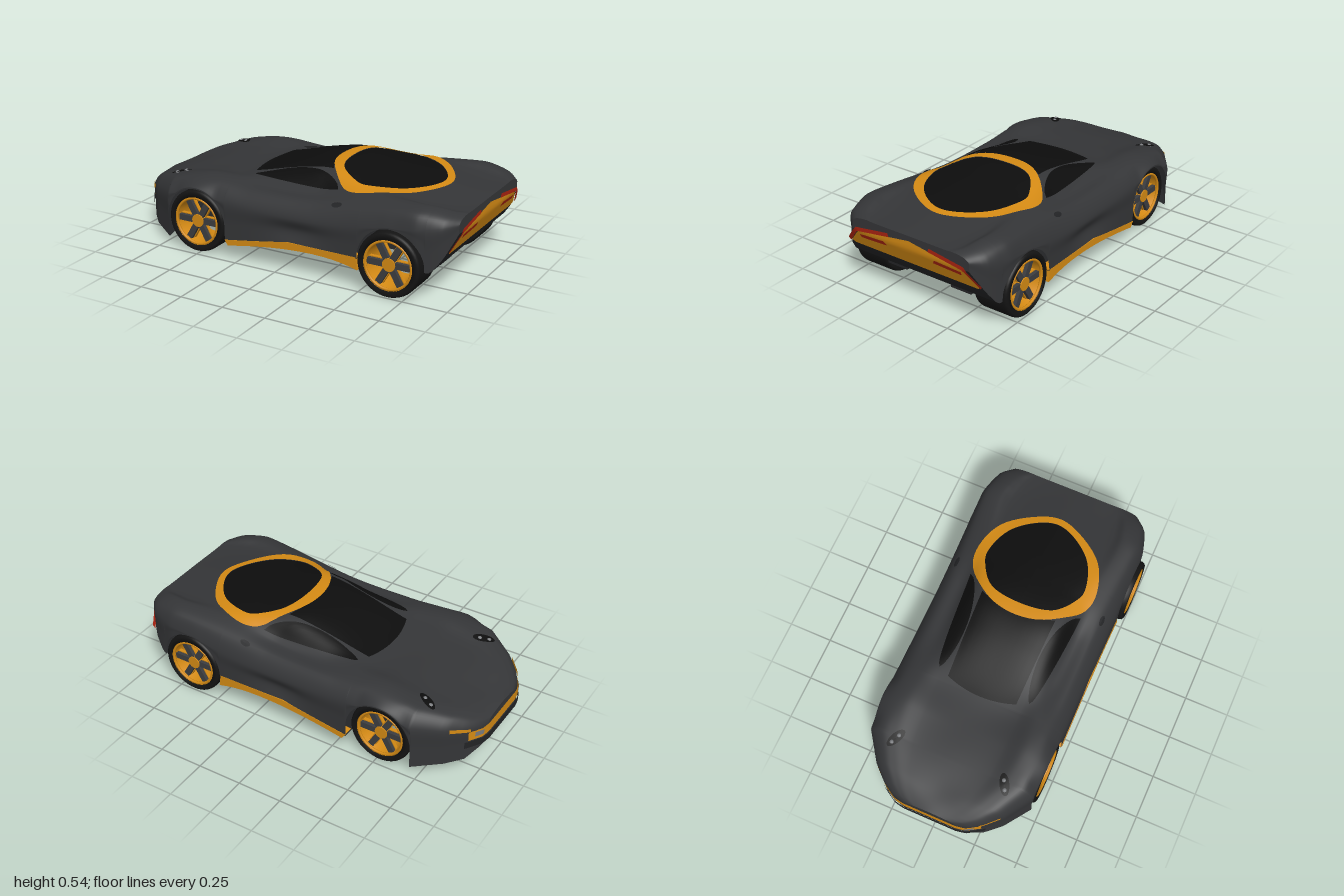
import * as THREE from 'three';

const mat = color => new THREE.MeshStandardMaterial({ color, side: THREE.DoubleSide });
const paint = mat(0x343537), glass = mat(0x0d0d0d), orange = mat(0xd48a14), red = mat(0xa82210);
const rubber = mat(0x141414), lamp = mat(0x77797c), trim = mat(0x222325), spokeGrey = mat(0x3c3d40);
const WHEEL_X = [-0.518, 0.663], WHEEL_Y = 0.176, ARCH = 0.188, ACROSS = 72, END = 0.99;

// Value at x of a profile of [x, value] points, smooth or straight
function profile(pts, smooth = true) {
  return x => {
    let i = 0;
    while (i < pts.length - 2 && x > pts[i + 1][0]) i++;
    const [ax, a] = pts[i], [bx, b] = pts[i + 1], h = bx - ax, t = (x - ax) / h;
    if (!smooth) return a + (b - a) * t;
    const p = pts[Math.max(i - 1, 0)], q = pts[Math.min(i + 2, pts.length - 1)];
    const m0 = (b - p[1]) / (bx - p[0]) * h, m1 = (q[1] - a) / (q[0] - ax) * h;
    const t2 = t * t, t3 = t2 * t;
    return (2 * t3 - 3 * t2 + 1) * a + (t3 - 2 * t2 + t) * m0 + (3 * t2 - 2 * t3) * b + (t3 - t2) * m1;
  };
}

// Lines running the length of the car: heights, half width and sill
const centre = profile([[-1, .275], [-.93, .305], [-.7, .37], [-.33, .415], [0, .51], [.17, .535], [.4, .522], [.75, .475], [1, .44]]);
const roofEdge = profile([[-1, .27], [-.855, .337], [-.53, .4], [-.33, .415], [0, .485], [.17, .51], [.4, .495], [.75, .464], [1, .44]]);
const belt = profile([[-1, .265], [-.855, .34], [-.53, .422], [-.33, .425], [-.1, .408], [.17, .42], [.4, .463], [.75, .484], [.88, .476], [1, .44]]);
const fender = profile([[-1, .258], [-.855, .33], [-.53, .407], [-.2, .395], [.17, .4], [.75, .458], [.9, .45], [1, .43]]);
const side = profile([[-1, .245], [-.855, .28], [-.53, .33], [.17, .31], [.75, .38], [1, .415]]);
const width = profile([[-1, .1], [-.98, .21], [-.93, .29], [-.855, .37], [-.7, .475], [-.53, .485], [.8, .488], [.88, .465], [.94, .44], [1, .365]], false);
const sill = profile([[-1, .15], [-.93, .075], [-.7, .05], [-.33, .1], [0, .16], [.17, .17], [.88, .165], [.94, .25], [1, .39]], false);
const tailX = profile([[.165, .88], [.25, .94], [.39, 1]], false);
const roofPart = profile([[-1, .45], [.17, .5], [.75, .62], [1, .62]], false);
const haunch = profile([[-1, 0], [.2, 0], [.75, .05], [1, .05]], false);
const wheelNear = x => WHEEL_X.find(c => Math.abs(x - c) < ARCH);

// Lower edge of the side, lifted over the wheels
function lowerEdge(x) {
  const c = wheelNear(x);
  return c === undefined ? sill(x) : WHEEL_Y + Math.sqrt(ARCH * ARCH - (x - c) ** 2);
}

// Cross-section of the bodywork at x, from sill to sill, with the doors tucked in
function section(x) {
  const yb = lowerEdge(x), w = width(x), h = haunch(x), ys = Math.max(side(x), yb + .008);
  const tuck = .022 * Math.exp(-(((x - .1) / .18) ** 2));
  const half = [[roofPart(x) * w, roofEdge(x)], [(.7 + h) * w, belt(x)], [(.88 + h) * w, fender(x)],
    [w, ys], [w - tuck, (ys + yb) / 2], [w, yb]];
  const pts = [...half.map(([z, y]) => [-z, y]).reverse(), [0, centre(x)], ...half];
  return new THREE.CatmullRomCurve3(pts.map(([z, y]) => new THREE.Vector3(x, y, z))).getPoints(ACROSS);
}

// Height of the bodywork at a point in plan
function top(x, z) {
  const s = section(x), d = Math.abs(z);
  let i = ACROSS / 2;
  while (i < ACROSS - 1 && d > s[i + 1].z) i++;
  const a = s[i], b = s[i + 1];
  return a.y + (b.y - a.y) * (d - a.z) / Math.max(b.z - a.z, 1e-6);
}

function mesh(name, geometry, material, parent) {
  const m = new THREE.Mesh(geometry, material);
  m.name = name;
  parent.add(m);
}

// Surface from a rule giving a point for each grid step
function grid(nu, nv, fn) {
  const pos = [], idx = [];
  for (let i = 0; i <= nu; i++) for (let j = 0; j <= nv; j++) {
    pos.push(...fn(i, j));
    if (i < nu && j < nv) {
      const a = i * (nv + 1) + j, b = a + nv + 1;
      idx.push(a, a + 1, b, b, a + 1, b + 1);
    }
  }
  const g = new THREE.BufferGeometry();
  g.setAttribute('position', new THREE.Float32BufferAttribute(pos, 3));
  g.setIndex(idx);
  g.computeVertexNormals();
  return g;
}

// Ruled patch between two plan or elevation curves, laid on the body by a mapping
function patch(a, b, map, nu, nv) {
  return grid(nu, nv, (i, j) => {
    const p = a(i / nu), q = b(i / nu), t = j / nv;
    return map(p[0] + (q[0] - p[0]) * t, p[1] + (q[1] - p[1]) * t);
  });
}
const onTop = lift => (x, z) => [x, top(x, z) + lift, z];
const onTail = lift => (z, y) => [Math.min(END, tailX(y)) + lift, y, z];
const onNose = lift => (z, y) => {
  let x = -END;
  while (x < -.6 && width(x) < Math.abs(z)) x += .001;
  return [x - lift, y, z];
};

// Closed plan curve from one half and its mirror image
function mirrored(half) {
  const pts = [...half, ...half.slice(1, -1).reverse().map(([x, z]) => [x, -z])];
  const c = new THREE.CatmullRomCurve3(pts.map(([x, z]) => new THREE.Vector3(x, 0, z)), true);
  return t => { const p = c.getPoint(t % 1); return [p.x, p.z]; };
}
const oval = (x, z, rx, rz, turn) => t => {
  const c = Math.cos(t * 2 * Math.PI) * rx, s = Math.sin(t * 2 * Math.PI) * rz;
  return [x + c * Math.cos(turn) - s * Math.sin(turn), z + c * Math.sin(turn) + s * Math.cos(turn)];
};

function makeWheel(w) {
  const g = new THREE.Group(), h = w / 2;
  const lathe = pts => new THREE.LatheGeometry(pts.map(p => new THREE.Vector2(...p)), 48).rotateX(Math.PI / 2);
  const arm = (width, z, i) => new THREE.BoxGeometry(.1, width, .02).translate(.078, 0, z).rotateZ(i * Math.PI / 3);
  mesh('tire', lathe([[.138, -h], [.163, -h], [.172, -h + .007], [.176, -h + .02], [.176, h - .02],
    [.172, h - .007], [.163, h], [.138, h - .004], [.138, -h]]), rubber, g);
  mesh('rimBarrel', lathe([[.137, -h - .02], [.126, -h - .02], [.12, 0], [.126, h - .015], [.139, h - .004]]), orange, g);
  mesh('rimLip', new THREE.TorusGeometry(.131, .008, 8, 48).translate(0, 0, h - .01), orange, g);
  mesh('hub', new THREE.CylinderGeometry(.036, .042, .05, 24).rotateX(Math.PI / 2).translate(0, 0, h - .04), orange, g);
  for (let i = 0; i < 6; i++) {
    mesh('spoke', arm(.034, h - .03, i), spokeGrey, g);
    mesh('spokeBack', arm(.044, h - .05, i), orange, g);
  }
  return g;
}

export function createModel() {
  const car = new THREE.Group(), shell = new THREE.Group();
  car.name = 'sportsCar';
  shell.name = 'bodyShell';
  shell.position.z = -0.012;
  car.add(shell);

  // Stations, closer together at the edges of the wheel arches
  const xs = [];
  for (let i = 0; i <= 100; i++) xs.push(END * (i / 50 - 1));
  for (const c of WHEEL_X) for (const s of [-1, 1]) for (const d of [-1e-4, 1e-4, .003, .008]) xs.push(c + s * (ARCH - d));
  xs.sort((a, b) => a - b);
  const last = xs.length - 1, sections = xs.map(section);
  mesh('bodywork', grid(last, ACROSS, (i, j) => sections[i][j].toArray()), paint, shell);
  for (const [name, i] of [['noseCap', 0], ['tailCap', last]])
    mesh(name, grid(1, ACROSS, (u, j) => { const p = sections[i][j]; return [p.x, u ? sill(p.x) : p.y, p.z]; }), paint, shell);

  // Underside, narrowed between the wheels
  mesh('floor', grid(last, 3, (i, j) => {
    const x = xs[i], w = width(x), s = j < 2 ? -1 : 1;
    const atSill = j % 3 === 0 && wheelNear(x) === undefined;
    return [x, atSill ? sill(x) : Math.max(sill(x), .1), s * (atSill ? w : Math.min(.28, w * .7))];
  }), trim, shell);

  // Roof ring and glass
  const outer = mirrored([[.13, 0], [.165, .16], [.31, .325], [.42, .355], [.61, .29], [.735, .13], [.775, 0]]);
  const inner = mirrored([[.2, 0], [.235, .18], [.35, .27], [.42, .29], [.59, .235], [.7, .11], [.735, 0]]);
  mesh('roofRing', patch(outer, inner, onTop(.009), 72, 5), orange, shell);
  mesh('rearGlass', patch(inner, () => [.46, 0], onTop(.006), 72, 10), glass, shell);
  mesh('windshield', patch(t => { const z = (t - .5) * .4; return [-.335 + .9 * z * z, z]; },
    t => { const z = (t - .5) * .43; return [.135 + 1.2 * z * z, z]; }, onTop(.006), 24, 24), glass, shell);

  const panelTop = profile([[0, .417], [.125, .398], [.34, .366], [.42, .275]], false);
  for (const s of [-1, 1]) {
    // Side glass, headlights and filler cap
    const low = t => [-.27 + .55 * t, s * (.262 + .066 * Math.sqrt(t))];
    const high = t => [-.27 + .55 * t, s * (.262 + .066 * Math.sqrt(t) - .092 * Math.sin(Math.PI * t) ** .6)];
    mesh('sideWindow', patch(low, high, onTop(.007), 32, 8), glass, shell);
    mesh('headlight', patch(oval(-.715, s * .315, .06, .026, s * -.5), () => [-.715, s * .315], onTop(.006), 24, 3), glass, shell);
    for (const d of [-.025, .02]) {
      const x = -.715 + d, z = s * (.315 - d * .5);
      mesh('headlightBulb', new THREE.SphereGeometry(.013, 16, 10).translate(x, top(x, z) - .001, z), lamp, shell);
    }
    mesh('fillerCap', patch(oval(.33, s * .435, .03, .012, 0), () => [.33, s * .435], onTop(.006), 20, 2), trim, shell);

    // Nose and tail lamps
    const line = (z0, y0, z1, y1) => t => [s * (z0 + (z1 - z0) * t), y0 + (y1 - y0) * t];
    const strip = rise => t => { const z = .125 + .3 * t; return [s * (z + rise * .4), panelTop(z) + rise]; };
    mesh('indicator', patch(line(.27, .25, .36, .265), line(.27, .268, .36, .29), onNose(.006), 12, 2), orange, shell);
    mesh('grilleEnd', patch(line(.2, .212, .25, .212), line(.2, .24, .25, .24), onNose(.009), 6, 1), lamp, shell);
    mesh('tailStrip', patch(strip(.001), strip(.022), onTail(.01), 28, 2), red, shell);
    mesh('tailLamp', patch(line(.15, .338, .325, .328), line(.165, .362, .33, .35), onTail(.01), 12, 3), red, shell);

    // Side skirt and undertray
    const skirt = new THREE.Shape();
    skirt.moveTo(-.33, .11);
    skirt.quadraticCurveTo(-.1, .145, .06, .175);
    skirt.lineTo(.47, .175);
    skirt.lineTo(.48, .105);
    skirt.quadraticCurveTo(.22, .185, -.31, .08);
    const skirtGeo = new THREE.ExtrudeGeometry(skirt, { depth: .06, bevelEnabled: false });
    mesh('sideSkirt', skirtGeo.translate(0, 0, s * .458 - .03), orange, shell);
    mesh('rearUndertray', new THREE.BoxGeometry(.14, .03, .13).translate(.78, .15, s * .21), trim, shell);

    // Wheels
    WHEEL_X.forEach((x, i) => {
      const w = i ? .21 : .18, wheel = makeWheel(w);
      wheel.name = i ? 'rearWheel' : 'frontWheel';
      wheel.position.set(x, WHEEL_Y, s * ((i ? .5 : .47) - w / 2));
      if (s < 0) wheel.rotation.y = Math.PI;
      car.add(wheel);
    });
  }

  // Nose grille with dark lip, and tail panel
  const across = (half, y) => t => [(t * 2 - 1) * half, y];
  mesh('grille', patch(across(.28, .192), across(.28, .248), onNose(.005), 48, 2), orange, shell);
  mesh('frontLip', patch(across(.3, .15), across(.3, .19), onNose(.01), 48, 1), trim, shell);
  mesh('tailPanel', patch(across(.4, .262), t => {
    const z = (t * 2 - 1) * .42;
    return [z, panelTop(Math.abs(z))];
  }, onTail(.006), 48, 8), orange, shell);
  return car;
}
